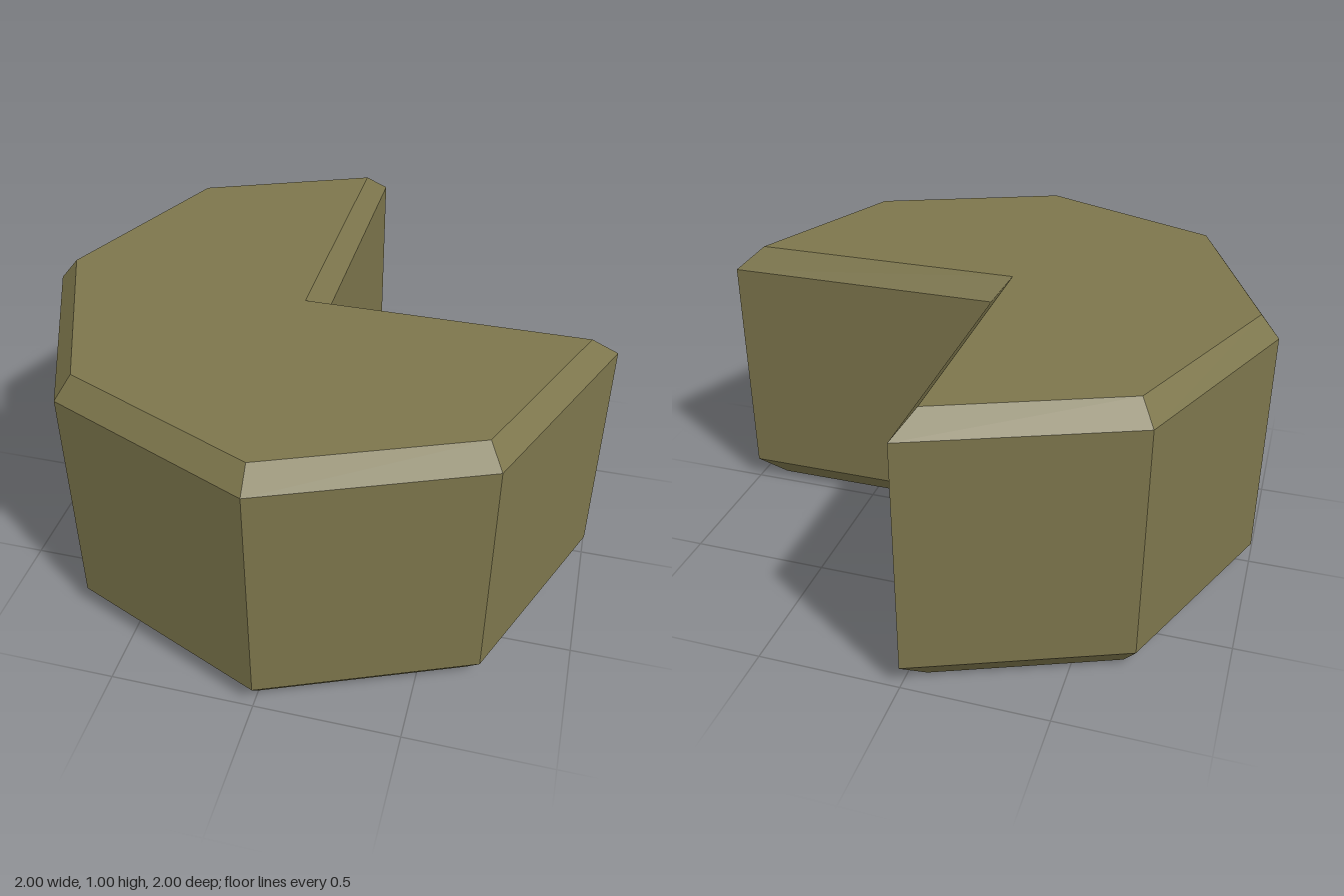
import * as THREE from 'three';

const HEIGHT = 1, BEVEL_HEIGHT = 0.08, BEVEL_INSET = 0.061;

// Octagon with one quarter cut out, in (x, z); the first point is the notch corner
function wedgeOutline() {
  const points = [new THREE.Vector2(0, 0)];
  for (let k = 0; k <= 6; k++) {
    const a = (k * Math.PI) / 4;
    points.push(new THREE.Vector2(Math.cos(a), Math.sin(a)));
  }
  return points;
}

// Move every edge inward by the same distance, with mitred corners
function insetOutline(points, distance) {
  const n = points.length;
  const normal = (i) => {
    const d = points[(i + 1) % n].clone().sub(points[i % n]).normalize();
    return new THREE.Vector2(-d.y, d.x);
  };
  return points.map((p, i) => {
    const a = normal(i + n - 1), b = normal(i);
    return p.clone().addScaledVector(a.clone().add(b), distance / (1 + a.dot(b)));
  });
}

// Stack outlines into walls and close both ends with fans from the notch corner
function loftGeometry(rings) {
  const positions = [], indices = [];
  const n = rings[0].points.length;
  for (const { points, y } of rings) for (const p of points) positions.push(p.x, y, p.y);
  for (let r = 0; r < rings.length - 1; r++) {
    for (let i = 0; i < n; i++) {
      const j = (i + 1) % n;
      const a = r * n + i, b = r * n + j, c = a + n, d = b + n;
      indices.push(a, c, b, b, c, d);
    }
  }
  const top = (rings.length - 1) * n;
  for (let i = 1; i < n - 1; i++) {
    indices.push(0, i, i + 1, top, top + i + 1, top + i);
  }
  const geometry = new THREE.BufferGeometry();
  geometry.setAttribute('position', new THREE.Float32BufferAttribute(positions, 3));
  geometry.setIndex(indices);
  const flat = geometry.toNonIndexed();
  flat.computeVertexNormals();
  return flat;
}

export function createModel() {
  const group = new THREE.Group();
  group.name = 'notchedOctagonBlock';

  const olive = new THREE.MeshStandardMaterial({ color: 0x7d764c });
  olive.name = 'olive';
  olive.flatShading = true;

  // Block with chamfered top and bottom rims
  const outer = wedgeOutline();
  const inner = insetOutline(outer, BEVEL_INSET);
  const block = new THREE.Mesh(loftGeometry([
    { points: inner, y: 0 },
    { points: outer, y: BEVEL_HEIGHT },
    { points: outer, y: HEIGHT - BEVEL_HEIGHT },
    { points: inner, y: HEIGHT },
  ]), olive);
  block.name = 'chamferedBlock';
  group.add(block);
  return group;
}
